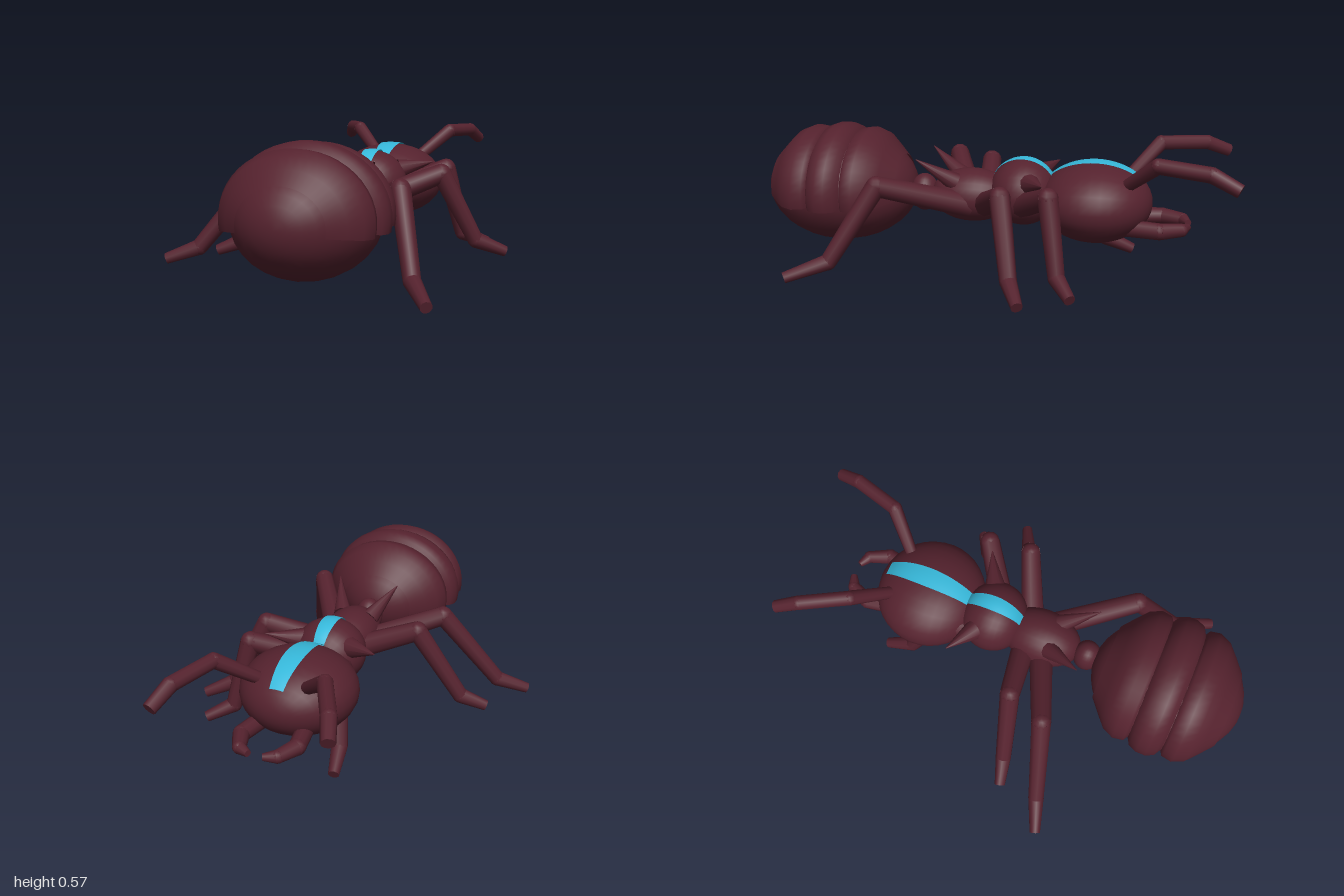
import * as THREE from 'three';

const V = (a) => new THREE.Vector3(...a);
const CX = 0.083; // body axis

export function createModel() {
  const model = new THREE.Group();
  model.name = 'ant';
  const shell = new THREE.MeshStandardMaterial({ color: 0x55222e, side: THREE.DoubleSide });
  shell.name = 'maroon shell';
  const blue = new THREE.MeshStandardMaterial({ color: 0x36b8da, side: THREE.DoubleSide });
  blue.name = 'stripe blue';

  const add = (parent, name, geo, mat = shell) => {
    const mesh = new THREE.Mesh(geo, mat);
    mesh.name = name;
    parent.add(mesh);
    return mesh;
  };

  const ellipsoid = (name, y, z, rx, ry, rz) => {
    const geo = new THREE.SphereGeometry(1, 28, 18).rotateX(Math.PI / 2).scale(rx, ry, rz);
    add(model, name, geo).position.set(CX, y, z);
  };

  // Tapered segments with ball joints through a list of points
  const limb = (name, pts, radii) => {
    const g = new THREE.Group();
    g.name = name;
    pts.map(V).forEach((p, i, all) => {
      if (i < all.length - 1) {
        const d = all[i + 1].clone().sub(p);
        const seg = add(g, 'segment', new THREE.CylinderGeometry(radii[i + 1], radii[i], d.length(), 10));
        seg.position.copy(p).addScaledVector(d, 0.5);
        seg.quaternion.setFromUnitVectors(V([0, 1, 0]), d.normalize());
        if (i > 0) add(g, 'joint', new THREE.SphereGeometry(radii[i], 10, 8)).position.copy(p);
      }
    });
    model.add(g);
  };

  // Thin stripe following the top of an ellipsoid
  const stripe = (name, y, z, rx, ry, rz, z0, z1, half) => {
    const geo = new THREE.PlaneGeometry(2, 1, 4, 16).rotateX(-Math.PI / 2);
    const p = geo.attributes.position;
    for (let i = 0; i < p.count; i++) {
      const t = p.getZ(i) + 0.5;
      const pz = z0 + (z1 - z0) * t;
      const px = p.getX(i) * half * (0.68 + 0.32 * Math.sin(Math.PI * t));
      const k = 1 - (px / rx) ** 2 - ((pz - z) / rz) ** 2;
      p.setXYZ(i, CX + px, y + ry * Math.sqrt(Math.max(k, 0)) + 0.006, pz);
    }
    geo.computeVertexNormals();
    add(model, name, geo, blue);
  };

  // Body
  const head = [0.29, -0.42, 0.24, 0.165, 0.235];
  const thorax = [0.315, -0.12, 0.153, 0.14, 0.142];
  ellipsoid('head', ...head);
  ellipsoid('frontThorax', ...thorax);
  ellipsoid('rearThorax', 0.29, 0.1, 0.122, 0.113, 0.175);
  ellipsoid('waist', 0.29, 0.31, 0.062, 0.08, 0.06);
  ellipsoid('abdomen', 0.305, 0.67, 0.275, 0.235, 0.325);
  stripe('headStripe', ...head, -0.615, -0.235, 0.043);
  stripe('thoraxStripe', ...thorax, -0.25, 0.005, 0.033);

  // Overlapping back plates on the abdomen, as [radius, z]
  const plates = [
    [[0.165, 0.4], [0.225, 0.45], [0.27, 0.49], [0.293, 0.54], [0.285, 0.585], [0.26, 0.6]],
    [[0.26, 0.595], [0.295, 0.615], [0.31, 0.65], [0.31, 0.69], [0.295, 0.725], [0.26, 0.745]],
    [[0.26, 0.74], [0.285, 0.755], [0.293, 0.8], [0.27, 0.85], [0.225, 0.89], [0.165, 0.94]],
  ];
  const deg = Math.PI / 180;
  plates.forEach((prof) => {
    const geo = new THREE.LatheGeometry(prof.map((q) => new THREE.Vector2(...q)), 26, 80 * deg, 200 * deg);
    const plate = add(model, 'abdomenPlate', geo);
    plate.scale.z = 0.87;
    plate.rotation.x = Math.PI / 2;
    plate.position.set(CX, 0.303, 0);
  });

  // Legs in mid-stride: hip, knee, ankle, foot
  const legs = {
    leftFrontLeg: [[0.14, 0.26, -0.1], [0.38, 0.37, -0.27], [0.45, 0.075, -0.318], [0.55, 0.027, -0.385]],
    leftMiddleLeg: [[0.13, 0.26, 0.04], [0.4, 0.37, -0.085], [0.54, 0.08, -0.148], [0.66, 0.027, -0.205]],
    leftRearLeg: [[0.15, 0.26, 0.1], [0.36, 0.375, 0.43], [0.455, 0.075, 0.61], [0.545, 0.027, 0.765]],
    rightFrontLeg: [[0.03, 0.26, -0.1], [-0.045, 0.34, -0.33], [-0.1, 0.08, -0.45], [-0.125, 0.027, -0.565]],
    rightMiddleLeg: [[0.04, 0.26, 0.04], [-0.23, 0.37, 0.085], [-0.42, 0.07, 0.135], [-0.53, 0.027, 0.165]],
    rightRearLeg: [[0.03, 0.26, 0.12], [-0.29, 0.38, 0.25], [-0.53, 0.075, 0.335], [-0.66, 0.027, 0.385]],
  };
  for (const [name, pts] of Object.entries(legs)) limb(name, pts, [0.052, 0.042, 0.034, 0.023]);

  // Antennae
  const feel = [0.026, 0.031, 0.031, 0.027];
  limb('leftAntenna', [[0.19, 0.39, -0.56], [0.305, 0.5, -0.68], [0.365, 0.49, -0.88], [0.39, 0.44, -0.985]], feel);
  limb('rightAntenna', [[-0.02, 0.39, -0.56], [-0.145, 0.5, -0.67], [-0.245, 0.49, -0.86], [-0.285, 0.45, -0.955]], feel);

  // Mirrored jaws and spines
  for (const s of [1, -1]) {
    const side = s > 0 ? 'left' : 'right';
    const m = (x, y, z) => [CX + s * x, y, z];
    limb(side + 'Jaw', [m(0.09, 0.21, -0.55), m(0.118, 0.21, -0.69), m(0.08, 0.21, -0.775), m(0.03, 0.21, -0.8)],
      [0.036, 0.034, 0.027, 0.014]);
    limb(side + 'FrontSpine', [m(0.11, 0.37, -0.165), m(0.243, 0.4, -0.235)], [0.045, 0.002]);
    limb(side + 'RearSpine', [m(0.065, 0.355, 0.16), m(0.138, 0.46, 0.305)], [0.04, 0.002]);
  }
  return model;
}
